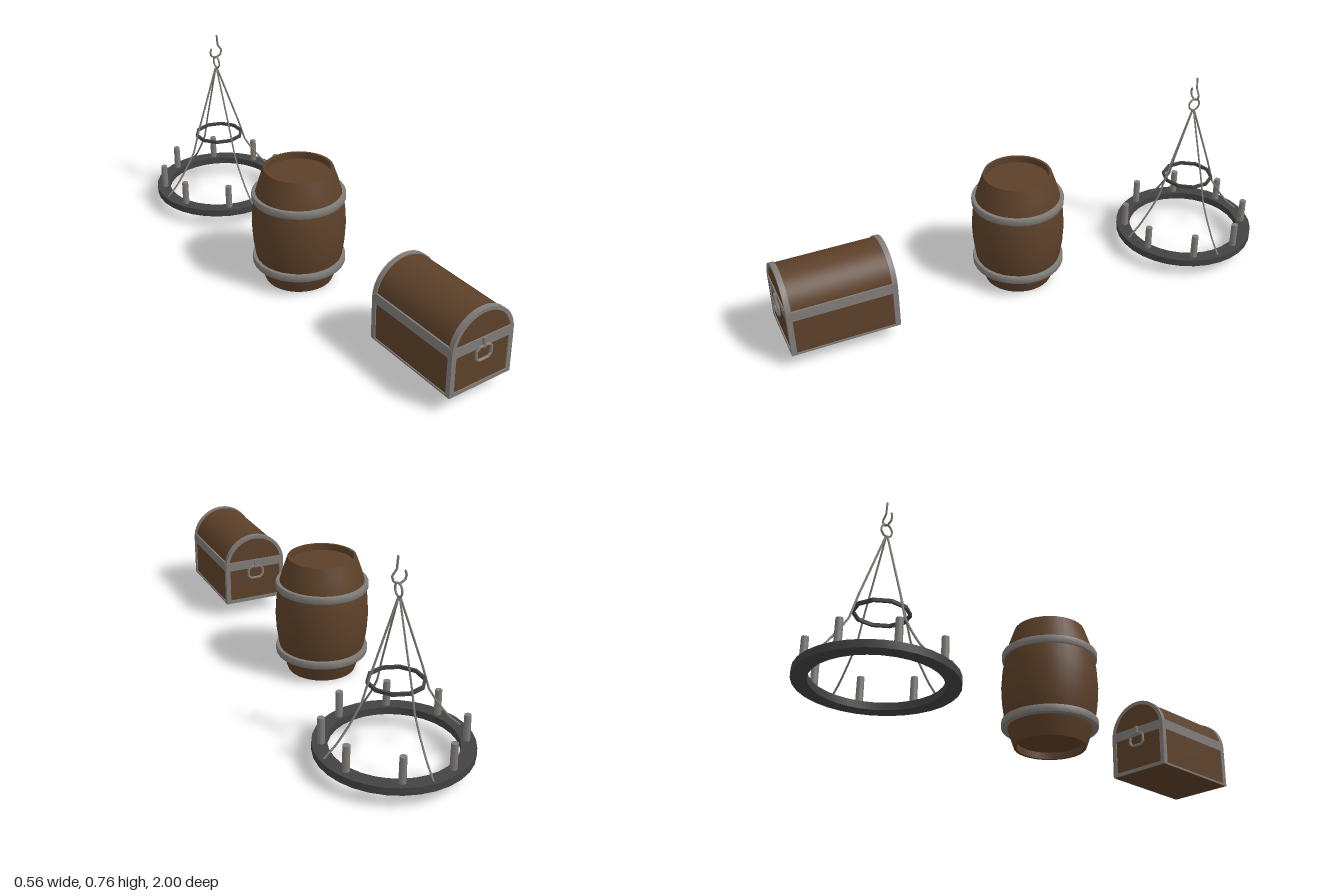
import * as THREE from 'three';
import { toCreasedNormals } from 'three/addons/utils/BufferGeometryUtils.js';

const mat = (name, color) => Object.assign(new THREE.MeshStandardMaterial({ color }), { name });
const V = (x, y, z) => new THREE.Vector3(x, y, z);

export function createModel() {
  const wood = mat('wood', 0x5c4029);
  const steel = mat('steel', 0x807c78);
  const iron = mat('dark iron', 0x424242);

  const add = (parent, name, geometry, material, x = 0, y = 0, z = 0) => {
    const mesh = new THREE.Mesh(geometry, material);
    mesh.name = name;
    mesh.position.set(x, y, z);
    parent.add(mesh);
    return mesh;
  };
  const group = (parent, name, x = 0, y = 0, z = 0) => {
    const g = new THREE.Group();
    g.name = name;
    g.position.set(x, y, z);
    parent.add(g);
    return g;
  };
  const lathe = (points, segments) => toCreasedNormals(
    new THREE.LatheGeometry(points.map(([r, y]) => new THREE.Vector2(r, y)), segments), 0.6);
  // Bent rod through straight-ish segments
  const rod = (points, radius, sides, closed = false) => new THREE.TubeGeometry(
    new THREE.CatmullRomCurve3(points, closed, 'catmullrom', 0), points.length * 5, radius, sides, closed);

  const model = new THREE.Group();
  model.name = 'tavernProps';

  // ---- Barrel with recessed ends and two hoops ----
  const barrel = group(model, 'barrel', -0.077, 0, 0.01);
  add(barrel, 'barrelStaves', lathe([
    [0, 0.025], [0.122, 0.025], [0.122, 0], [0.133, 0], [0.152, 0.055], [0.168, 0.11], [0.177, 0.17],
    [0.181, 0.235], [0.177, 0.3], [0.168, 0.36], [0.152, 0.415], [0.133, 0.47], [0.122, 0.47],
    [0.122, 0.445], [0, 0.445]], 32), wood);
  for (const y of [0.072, 0.343]) {
    add(barrel, 'barrelHoop', lathe([[0.15, 0], [0.178, 0], [0.18, 0.004],
      [0.18, 0.024], [0.178, 0.028], [0.15, 0.028]], 32), steel, 0, y);
  }

  // ---- Chest with arched lid ----
  const chest = group(model, 'chest', -0.025, 0, 0.782);
  const arch = (Type, r, bottom, spring, center) => {
    const s = new Type();
    const a = Math.asin((spring - center) / r);
    s.moveTo(-r * Math.cos(a), bottom);
    s.lineTo(r * Math.cos(a), bottom);
    s.absarc(0, center, r, a, Math.PI - a, false);
    s.closePath();
    return s;
  };
  const extrude = (shape, depth) => toCreasedNormals(
    new THREE.ExtrudeGeometry(shape, { depth, bevelEnabled: false, curveSegments: 12 }), 0.5);
  add(chest, 'chestBody', extrude(arch(THREE.Shape, 0.129, 0.0625, 0.23, 0.23), 0.404), wood, 0, 0, -0.202);

  // End frames, open over the lower panel and the lid panel
  const frame = arch(THREE.Shape, 0.133, 0.063, 0.23, 0.23);
  const panel = new THREE.Path();
  panel.moveTo(-0.114, 0.077);
  panel.lineTo(-0.114, 0.215);
  panel.lineTo(0.114, 0.215);
  panel.lineTo(0.114, 0.077);
  panel.closePath();
  frame.holes.push(panel, arch(THREE.Path, 0.119, 0.253, 0.253, 0.23));
  for (const z of [-0.206, 0.186]) add(chest, 'chestEndFrame', extrude(frame, 0.02), steel, 0, 0, z);

  // Side straps and bottom edging
  for (const s of [-1, 1]) {
    add(chest, 'chestSideStrap', new THREE.BoxGeometry(0.016, 0.04, 0.4), steel, s * 0.125, 0.234, 0);
    add(chest, 'chestBottomEdge', new THREE.BoxGeometry(0.006, 0.007, 0.4), steel, s * 0.13, 0.0665, 0);
  }

  // Ring handles at both ends
  const outline = [[-0.033, 0.012], [-0.033, -0.016], [-0.02, -0.028], [0.02, -0.028],
    [0.033, -0.016], [0.033, 0.012], [0.02, 0.024], [-0.02, 0.024]];
  for (const s of [-1, 1]) {
    const handle = group(chest, 'chestHandle', 0, 0, s * 0.211);
    add(handle, 'handleRing', rod(outline.map(([x, y]) => V(x, y, 0)), 0.0055, 6, true), steel, 0, 0.199, 0);
    add(handle, 'handleHanger', new THREE.BoxGeometry(0.011, 0.036, 0.01), steel, 0, 0.236, 0);
  }

  // ---- Hanging candle ring ----
  const chandelier = group(model, 'chandelier', 0, 0, -0.721);
  add(chandelier, 'candleRing', lathe([[0.225, 0.05], [0.279, 0.05], [0.279, 0.078],
    [0.225, 0.078], [0.225, 0.05]], 32), iron);
  add(chandelier, 'upperRing', lathe([[0.092, 0.304], [0.102, 0.304], [0.102, 0.316],
    [0.092, 0.316], [0.092, 0.304]], 10), iron);
  for (let i = 0; i < 8; i++) {
    const a = (i + 0.5) * Math.PI / 4;
    add(chandelier, 'candle', new THREE.CylinderGeometry(0.0128, 0.0135, 0.1, 10), steel,
      0.246 * Math.cos(a), 0.125, 0.246 * Math.sin(a));
  }
  // Four hanging rods flaring out to the candle ring
  const drop = [[0.003, 0.612], [0.098, 0.345], [0.128, 0.249], [0.166, 0.187], [0.214, 0.122], [0.264, 0.074]];
  for (let i = 0; i < 4; i++) {
    add(chandelier, 'hangingRod', rod(drop.map(([x, y]) => V(x, y, 0)), 0.0038, 6), steel)
      .rotation.y = i * Math.PI / 2;
  }
  // Link and ceiling hook
  add(chandelier, 'hangingLink', new THREE.TorusGeometry(0.0235, 0.0038, 6, 14), steel, 0.003, 0.636, 0)
    .rotation.y = Math.PI / 2;
  const hook = [[0.009, 0.752], [0.012, 0.71], [0.029, 0.687], [0.023, 0.667],
    [0, 0.657], [-0.02, 0.667], [-0.024, 0.683], [-0.02, 0.697]];
  add(chandelier, 'ceilingHook', rod(hook.map(([x, y]) => V(x, y, 0)), 0.004, 6), steel);
  for (const [x, y] of [hook[0], hook[hook.length - 1]]) {
    add(chandelier, 'hookTip', new THREE.SphereGeometry(0.004, 6, 4), steel, x, y, 0);
  }
  return model;
}
